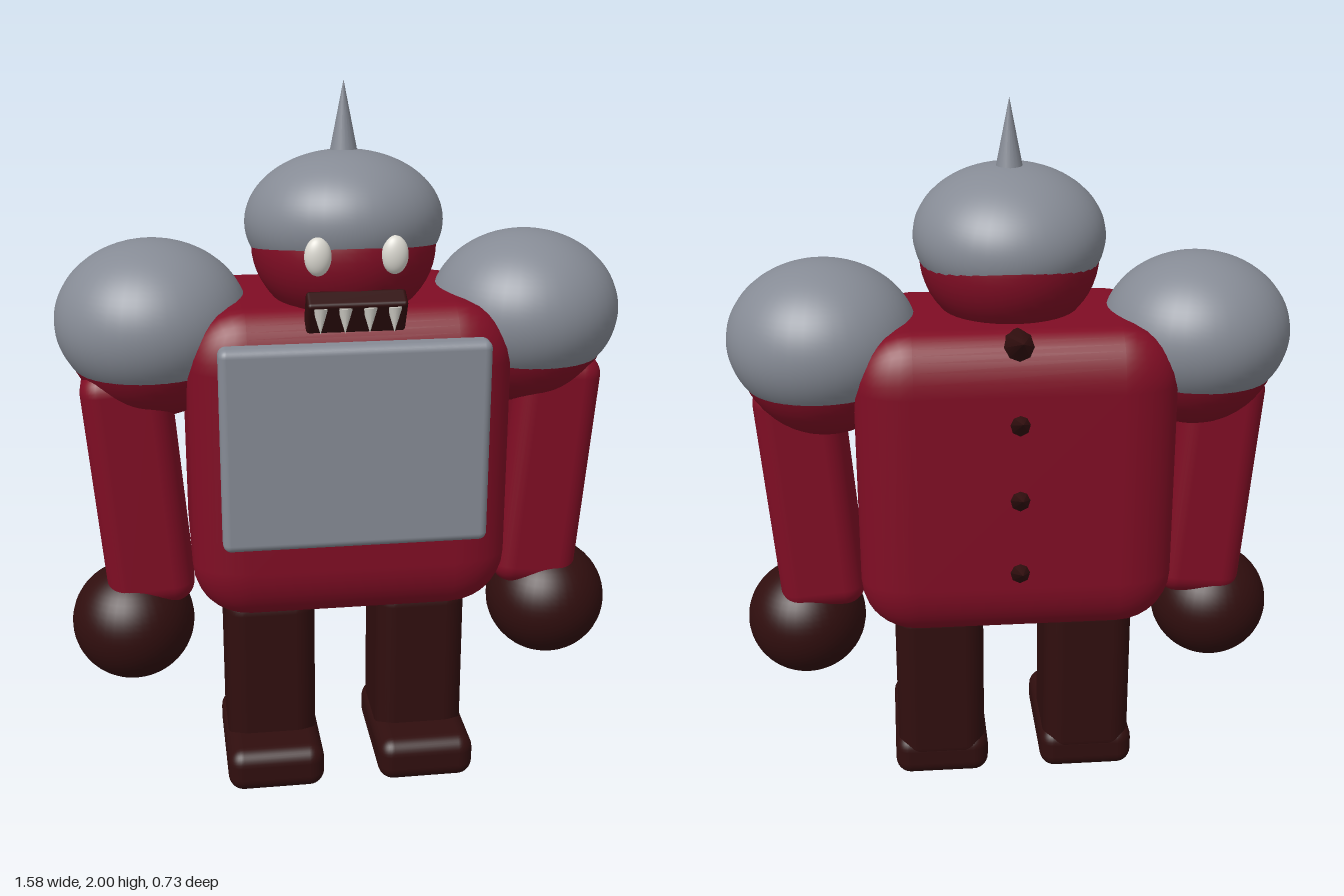
import * as THREE from 'three';
import { RoundedBoxGeometry } from 'three/addons/geometries/RoundedBoxGeometry.js';

const material = (name, color, side = THREE.FrontSide) => {
  const m = new THREE.MeshStandardMaterial({ color, side });
  m.name = name;
  return m;
};

export function createModel() {
  const root = new THREE.Group();
  root.name = 'armouredMonster';

  const grey = material('armourGrey', 0x868b95, THREE.DoubleSide);
  const red = material('skinRed', 0x800d24);
  const dark = material('darkBrown', 0x300e0e);
  const white = material('boneWhite', 0xdcdad2);

  const add = (name, geometry, mat, x, y, z) => {
    const mesh = new THREE.Mesh(geometry, mat);
    mesh.name = name;
    mesh.position.set(x, y, z);
    root.add(mesh);
    return mesh;
  };
  const roundBox = (w, h, d, r, segments = 4) => new RoundedBoxGeometry(w, h, d, segments, r);
  const ellipsoid = (rx, ry, rz, theta = Math.PI) =>
    new THREE.SphereGeometry(1, 40, 28, 0, Math.PI * 2, 0, theta).scale(rx, ry, rz);

  // Torso: corners are softer along the longer sides
  add('torso', roundBox(1, 1, 1, 0.18), red, 0, 0.99, 0.015).scale.set(0.88, 0.88, 0.59);
  add('chestPlate', roundBox(0.72, 0.565, 0.07, 0.022), grey, 0, 1.073, 0.315);

  // Head with a helmet tipped slightly back
  add('head', ellipsoid(0.25, 0.22, 0.263), red, 0, 1.57, 0.07);
  add('helmet', ellipsoid(0.267, 0.19, 0.267, 1.92), grey, 0, 1.63, 0.07).rotation.x = -0.15;
  add('helmetSpike', new THREE.ConeGeometry(0.04, 0.2, 20), grey, 0, 1.9, 0.07);

  // Mouth and fangs
  add('mouth', roundBox(0.26, 0.1, 0.06, 0.01, 2), dark, 0, 1.44, 0.31).rotation.x = 0.5;
  for (let i = 0; i < 4; i++) {
    const fang = add('fang', new THREE.ConeGeometry(0.021, 0.07, 12), white, (i - 1.5) * 0.064, 1.425, 0.343);
    fang.rotation.x = Math.PI;
  }

  // Paired parts
  for (const [side, s] of [['left', 1], ['right', -1]]) {
    add(side + 'Eye', ellipsoid(0.035, 0.05, 0.025), white, s * 0.099, 1.587, 0.318);
    add(side + 'Shoulder', ellipsoid(0.24, 0.24, 0.24), red, s * 0.52, 1.33, 0.015);
    add(side + 'ShoulderCap', ellipsoid(0.265, 0.22, 0.265, 2.25), grey, s * 0.522, 1.36, 0.015);
    add(side + 'Arm', roundBox(0.245, 0.7, 0.25, 0.06), red, s * 0.58, 0.9, 0.047).rotation.z = -s * 0.08;
    add(side + 'Fist', ellipsoid(0.175, 0.17, 0.177), dark, s * 0.613, 0.477, 0.062);
    add(side + 'Leg', roundBox(0.26, 0.53, 0.295, 0.06), dark, s * 0.22, 0.305, 0.022);
    add(side + 'Foot', roundBox(0.28, 0.13, 0.415, 0.045), dark, s * 0.22, 0.065, 0.083);
  }

  // Row of spikes down the back, tilted up
  const tilt = 0.36;
  for (let i = 0; i < 4; i++) {
    const spike = add('backSpike', new THREE.ConeGeometry(0.055, 0.18, 8), dark,
      0, 1.445 - i * 0.218 - 0.09 * Math.sin(tilt), -0.363 + 0.09 * Math.cos(tilt));
    spike.rotation.x = -Math.PI / 2 + tilt;
  }

  return root;
}
